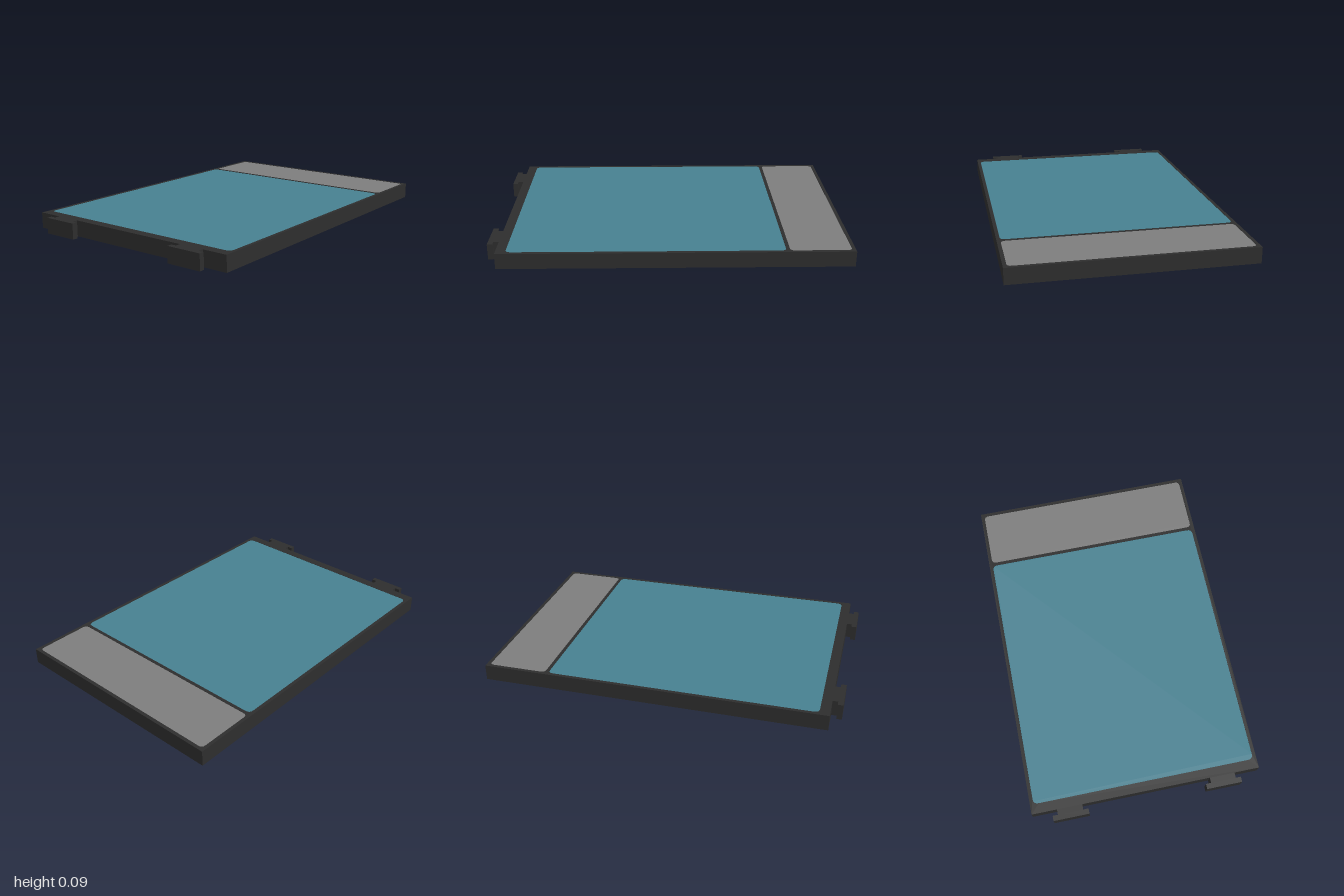
import * as THREE from 'three';

const HEIGHT = 0.09;

// Rectangle outline in x/z with rounded corners
function roundedRect(target, x0, x1, z0, z1, r) {
  target.moveTo(x0 + r, z0);
  target.lineTo(x1 - r, z0);
  target.quadraticCurveTo(x1, z0, x1, z0 + r);
  target.lineTo(x1, z1 - r);
  target.quadraticCurveTo(x1, z1, x1 - r, z1);
  target.lineTo(x0 + r, z1);
  target.quadraticCurveTo(x0, z1, x0, z1 - r);
  target.lineTo(x0, z0 + r);
  target.quadraticCurveTo(x0, z0, x0 + r, z0);
  return target;
}

// Extrude an x/z outline upwards from bottom to top
function slab(shape, bottom, top) {
  const geometry = new THREE.ExtrudeGeometry(shape, {
    depth: top - bottom, bevelEnabled: false, curveSegments: 4,
  });
  geometry.rotateX(Math.PI / 2);
  geometry.translate(0, top, 0);
  return geometry;
}

export function createModel() {
  const group = new THREE.Group();
  const dark = new THREE.MeshStandardMaterial({ color: 0x2d2d2d });
  dark.name = 'dark frame';
  const teal = new THREE.MeshStandardMaterial({ color: 0x478090 });
  teal.name = 'teal panel';
  const grey = new THREE.MeshStandardMaterial({ color: 0x7d7d7d });
  grey.name = 'grey panel';

  const add = (name, geometry, material) => {
    const mesh = new THREE.Mesh(geometry, material);
    mesh.name = name;
    group.add(mesh);
    return mesh;
  };

  // Frame with two rounded openings
  const openings = [
    { name: 'mainPanel', material: teal, rect: [-0.64, 0.64, -0.625, 0.885, 0.03] },
    { name: 'headPanel', material: grey, rect: [-0.64, 0.64, -0.98, -0.645, 0.025] },
  ];
  const outline = new THREE.Shape([
    new THREE.Vector2(-0.66, -1), new THREE.Vector2(0.66, -1),
    new THREE.Vector2(0.66, 0.94), new THREE.Vector2(-0.66, 0.94),
  ]);
  for (const { rect } of openings) outline.holes.push(roundedRect(new THREE.Path(), ...rect));
  add('frame', slab(outline, 0, HEIGHT), dark);

  // Panels filling the openings, a hair below the frame faces
  for (const { name, material, rect } of openings) {
    add(name, slab(roundedRect(new THREE.Shape(), ...rect), 0.001, HEIGHT - 0.001), material);
  }

  // T-shaped mounting clips on the front edge
  const profile = [
    [-0.0725, 0.94], [0.0725, 0.94], [0.0725, 0.97], [0.1025, 0.97],
    [0.1025, 1], [-0.1025, 1], [-0.1025, 0.97], [-0.0725, 0.97],
  ];
  const clip = slab(new THREE.Shape(profile.map(([x, z]) => new THREE.Vector2(x, z))), 0, HEIGHT);
  for (const [name, side] of [['leftClip', 1], ['rightClip', -1]]) {
    add(name, clip, dark).position.x = side * 0.4425;
  }

  return group;
}
